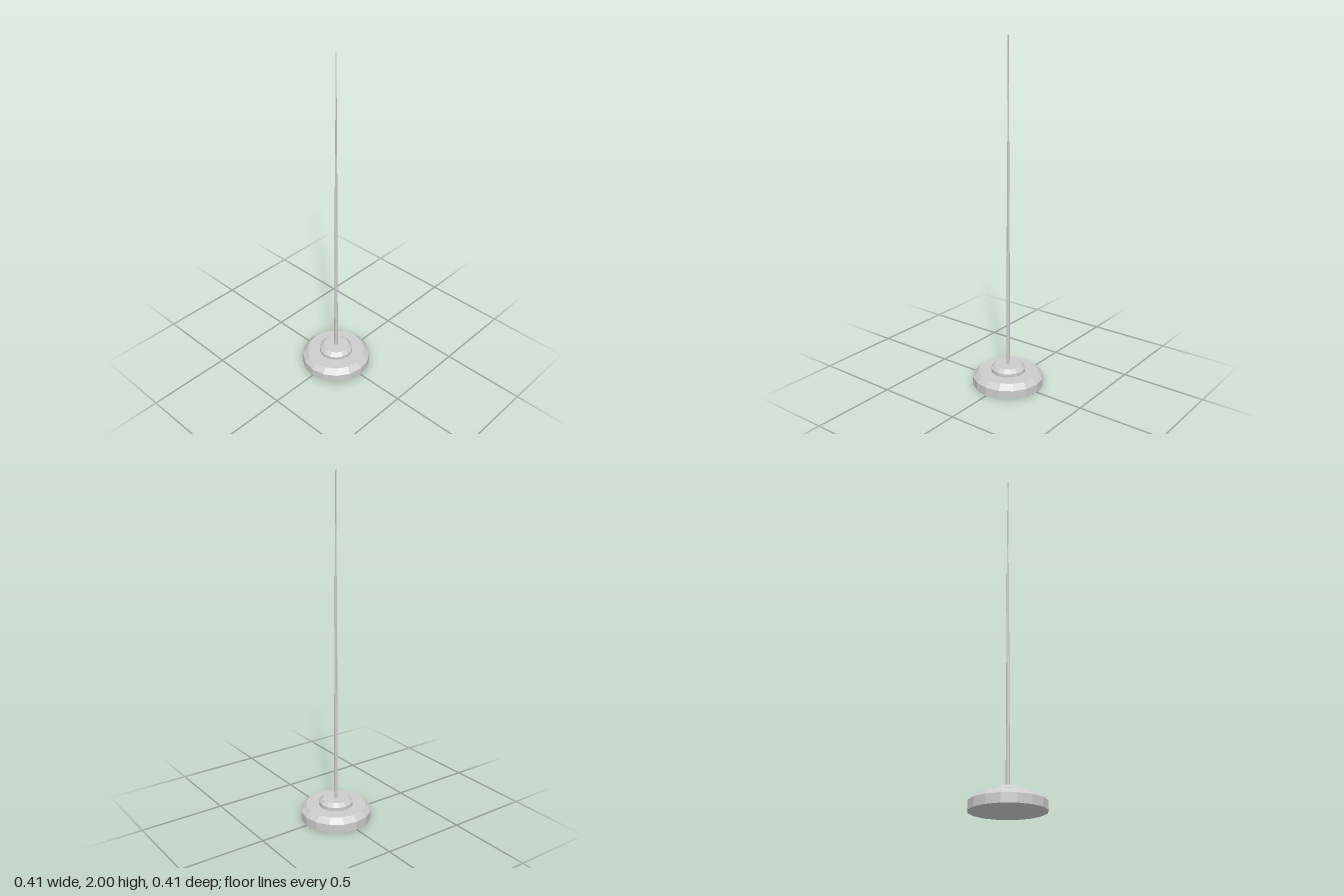
import * as THREE from 'three';

export function createModel() {
  const group = new THREE.Group();
  const material = new THREE.MeshStandardMaterial({ color: 0xcccccc, flatShading: true });

  // Solid of revolution from [radius, height] pairs, listed bottom to top
  const turned = (name, profile, sides) => {
    const points = profile.map(([r, y]) => new THREE.Vector2(r, y));
    const mesh = new THREE.Mesh(new THREE.LatheGeometry(points, sides), material);
    mesh.name = name;
    group.add(mesh);
  };

  // Weighted foot and collar, both with a chamfered top edge
  turned('base', [[0, 0], [0.207, 0], [0.207, 0.05], [0.176, 0.08], [0, 0.08]], 16);
  turned('collar', [[0, 0.08], [0.1, 0.08], [0.1, 0.1], [0.078, 0.12], [0, 0.12]], 16);

  // Slender mast of three tapering sections
  const mast = [
    ['lowerMast', 0.0115, 0.009, 0.12, 0.76],
    ['middleMast', 0.009, 0.006, 0.76, 1.44],
    ['upperMast', 0.0045, 0.003, 1.44, 2],
  ];
  for (const [name, r0, r1, y0, y1] of mast) {
    turned(name, [[0, y0], [r0, y0], [r1, y1], [0, y1]], 8);
  }
  return group;
}
